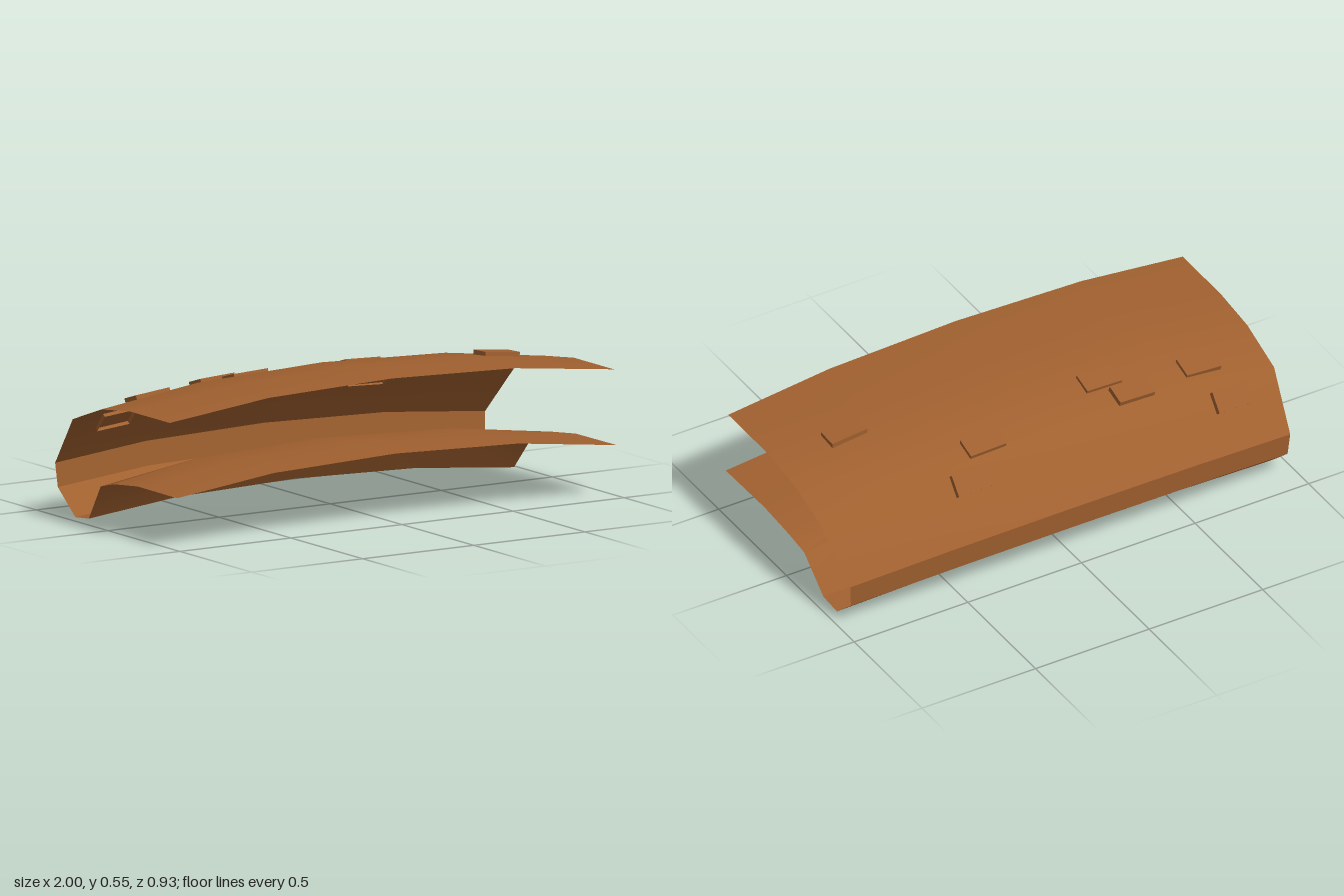
import * as THREE from 'three';
import { toCreasedNormals } from 'three/addons/utils/BufferGeometryUtils.js';

// Hooked cross-section: [z, y] at the centre, then [x, z, y] at the outer end
const PROFILE = [
  [0.43, 0.553, 1.0, 0.43, 0.485],
  [0.14, 0.553, 1.0, 0.15, 0.485],
  [-0.06, 0.537, 1.0, -0.047, 0.461],
  [-0.27, 0.475, 0.997, -0.25, 0.391],
  [-0.463, 0.24, 0.968, -0.418, 0.193],
  [-0.455, 0.145, 0.961, -0.41, 0.1],
  [-0.34, 0.05, 0.955, -0.297, 0.002],
  [-0.245, 0.06, 0.957, -0.2, 0.012],
  [-0.115, 0.235, 0.975, -0.09, 0.155],
  [0.0, 0.257, 0.982, 0.015, 0.181],
  [0.18, 0.268, 0.986, 0.185, 0.2],
  [0.455, 0.268, 0.99, 0.465, 0.2],
];

// Stations along x: [share of the end x, share of the bend]
const STATIONS = [[-1, 1], [-0.555, 0.26], [0, 0], [0.555, 0.26], [1, 1]];

function shellGeometry() {
  const positions = [];
  const index = [];
  const rows = PROFILE.length;
  for (const [sx, bend] of STATIONS) {
    for (const [z0, y0, x1, z1, y1] of PROFILE) {
      positions.push(sx * x1, y0 + (y1 - y0) * bend, z0 + (z1 - z0) * bend);
    }
  }
  for (let s = 0; s < STATIONS.length - 1; s++) {
    for (let p = 0; p < rows - 1; p++) {
      const a = s * rows + p;
      const b = a + rows;
      index.push(a, b, a + 1, b, b + 1, a + 1);
    }
  }
  const geometry = new THREE.BufferGeometry();
  geometry.setAttribute('position', new THREE.Float32BufferAttribute(positions, 3));
  geometry.setIndex(index);
  return toCreasedNormals(geometry, 0.68);
}

// Small block, open underneath
function blockGeometry() {
  const geometry = new THREE.BoxGeometry(0.155, 0.036, 0.084);
  const faces = Array.from(geometry.index.array);
  faces.splice(18, 6);
  geometry.setIndex(faces);
  geometry.clearGroups();
  return geometry;
}

export function createModel() {
  const model = new THREE.Group();
  model.name = 'curvedPlate';
  const brown = new THREE.MeshStandardMaterial({ color: 0xa0602f, side: THREE.DoubleSide });
  brown.name = 'rustBrown';

  // Bent, hooked sheet
  const shell = new THREE.Mesh(shellGeometry(), brown);
  shell.name = 'hookedShell';
  model.add(shell);

  // Raised blocks set into the upper sheet: x, y, z, tilt about x
  const blocks = new THREE.Group();
  blocks.name = 'raisedBlocks';
  const geometry = blockGeometry();
  [
    [-0.77, 0.367, -0.308, -0.87],
    [-0.708, 0.457, -0.173, -0.3],
    [-0.39, 0.477, -0.216, -0.3],
    [-0.303, 0.502, -0.119, -0.28],
    [0.267, 0.477, -0.22, -0.3],
    [0.375, 0.41, -0.32, -0.87],
    [0.705, 0.511, 0.067, -0.05],
  ].forEach(([x, y, z, tilt], i) => {
    const block = new THREE.Mesh(geometry, brown);
    block.name = `raisedBlock${i + 1}`;
    block.position.set(x, y, z);
    block.rotation.set(tilt, 0, -0.14 * x);
    blocks.add(block);
  });
  model.add(blocks);
  return model;
}
